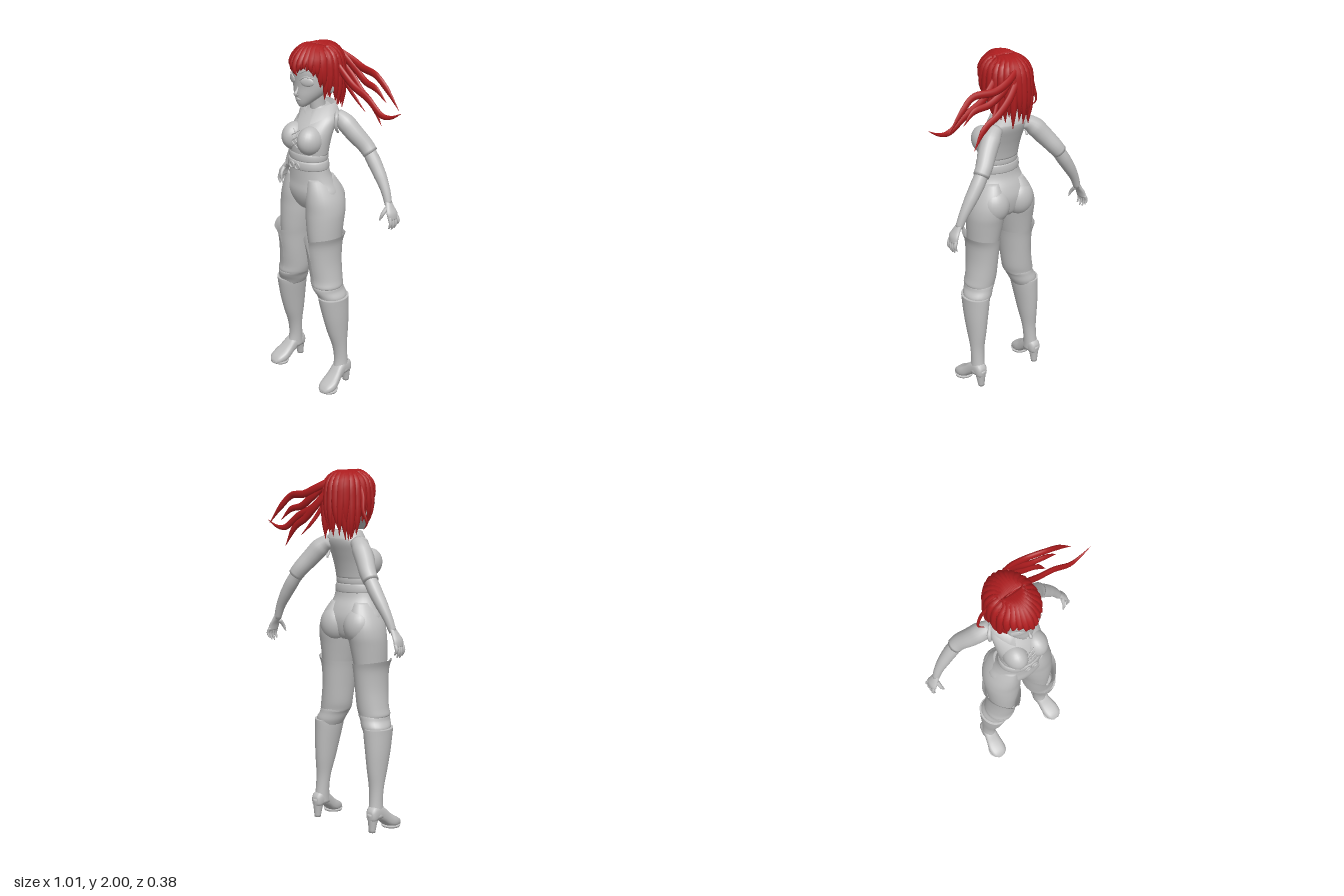
import * as THREE from 'three';

const V = (x, y, z) => new THREE.Vector3(x, y, z);

// Skin a stack of point rings; closed rings wrap round and get end caps.
function skin(rings, closed = true) {
  const n = rings[0].length, pos = [], idx = [];
  rings.forEach(r => r.forEach(p => pos.push(p.x, p.y, p.z)));
  for (let i = 0; i + 1 < rings.length; i++)
    for (let j = 0; j < (closed ? n : n - 1); j++) {
      const k = (j + 1) % n, a = i * n + j, b = i * n + k, c = b + n, d = a + n;
      idx.push(a, b, c, a, c, d);
    }
  if (closed) [0, rings.length - 1].forEach((r, end) => {
    const c = V(0, 0, 0), ci = pos.length / 3;
    rings[r].forEach(p => c.addScaledVector(p, 1 / n));
    pos.push(c.x, c.y, c.z);
    for (let j = 0; j < n; j++) {
      const a = r * n + j, b = r * n + (j + 1) % n;
      if (end) idx.push(a, b, ci); else idx.push(b, a, ci);
    }
  });
  const g = new THREE.BufferGeometry();
  g.setAttribute('position', new THREE.Float32BufferAttribute(pos, 3));
  g.setIndex(idx);
  g.computeVertexNormals();
  return g;
}

// Cubic smoothing between rows of numbers.
function smooth(rows, steps) {
  const out = [];
  for (let i = 0; i + 1 < rows.length; i++) {
    const p = rows[Math.max(i - 1, 0)], a = rows[i], b = rows[i + 1], q = rows[Math.min(i + 2, rows.length - 1)];
    for (let s = 0; s < steps; s++) {
      const t = s / steps;
      out.push(a.map((v, k) => {
        const cubic = 3 * (v - b[k]) + q[k] - p[k];
        const square = 2 * p[k] - 5 * v + 4 * b[k] - q[k];
        return v + 0.5 * t * (b[k] - p[k] + t * (square + t * cubic));
      }));
    }
  }
  out.push(rows[rows.length - 1]);
  return out;
}

// Upright loft, rows from bottom to top: [y, xMin, xMax, zMin, zMax, slit angle at the front].
function loft(rows, steps = 4, sides = 28) {
  const slit = rows[0].length > 5;
  return skin(smooth(rows, steps).map(([y, x0, x1, z0, z1, gap = 0]) => {
    const g = Math.max(gap, 0), ring = [];
    for (let j = 0; j < sides + (slit ? 1 : 0); j++) {
      const t = g + (j / sides) * (Math.PI * 2 - 2 * g), s = Math.sin(t), c = Math.cos(t);
      ring.push(V((x0 + x1) / 2 + (x1 - x0) / 2 * s, y + g * 0.07 * s,
        (z0 + z1) / 2 + (z1 - z0) / 2 * c + g * 0.14 * Math.max(c, 0) ** 8));
    }
    return ring;
  }), !slit);
}
const even = rows => rows.map(([y, rx, z0, z1]) => [y, -rx, rx, z0, z1]);

// Tapering tube through points; flat thins it front to back.
function taper(points, radii, sides = 8, seg = 18, flat = 1) {
  const curve = new THREE.CatmullRomCurve3(points.map(p => V(...p)));
  const f = curve.computeFrenetFrames(seg, false), rings = [], thin = V(1, 1, flat);
  for (let i = 0; i <= seg; i++) {
    const u = i / seg * (radii.length - 1), k = Math.min(Math.floor(u), radii.length - 2);
    const r = THREE.MathUtils.lerp(radii[k], radii[k + 1], u - k), c = curve.getPointAt(i / seg);
    rings.push(Array.from({ length: sides }, (_, j) => {
      const a = j / sides * Math.PI * 2;
      return f.normals[i].clone().multiplyScalar(r * Math.cos(a)).addScaledVector(f.binormals[i], r * Math.sin(a)).multiply(thin).add(c);
    }));
  }
  return skin(rings);
}

export function createModel() {
  const grey = new THREE.MeshStandardMaterial({ color: 0xbfbfbf, side: THREE.DoubleSide });
  grey.name = 'plain grey';
  const red = new THREE.MeshStandardMaterial({ color: 0xad1c1e });
  red.name = 'hair red';
  const root = new THREE.Group(), body = new THREE.Group();
  root.name = 'standingFigure';
  body.name = 'body';
  body.position.x = -0.033;
  root.add(body);
  const add = (parent, name, geo, mat = grey) => {
    const m = new THREE.Mesh(geo, mat);
    m.name = name;
    parent.add(m);
    return m;
  };
  const ball = (parent, name, p, s, mat = grey) => {
    const m = add(parent, name, new THREE.SphereGeometry(1, 24, 16), mat);
    m.position.set(...p);
    m.scale.set(...s);
    return m;
  };

  // Trunk
  add(body, 'trousers', loft(even([[1.075, 0.04, -0.05, 0.075], [1.1, 0.1, -0.07, 0.11], [1.15, 0.165, -0.083, 0.135],
    [1.2, 0.177, -0.085, 0.145], [1.25, 0.152, -0.07, 0.141], [1.3, 0.132, -0.045, 0.14], [1.35, 0.122, -0.035, 0.14]]), 4, 36));
  add(body, 'shirt', loft(even([[1.41, 0.119, -0.04, 0.145], [1.45, 0.123, -0.048, 0.148], [1.5, 0.127, -0.062, 0.142],
    [1.55, 0.128, -0.08, 0.113], [1.6, 0.122, -0.098, 0.068], [1.635, 0.09, -0.1, 0.035], [1.66, 0.05, -0.08, 0.02]]), 4, 36));
  add(body, 'upperWaistBand', loft(even([[1.375, 0.115, -0.034, 0.145], [1.385, 0.12, -0.038, 0.15],
    [1.41, 0.12, -0.038, 0.15], [1.42, 0.115, -0.034, 0.145]]), 2, 36));
  add(body, 'belt', loft(even([[1.328, 0.122, -0.036, 0.147], [1.336, 0.129, -0.042, 0.155],
    [1.37, 0.126, -0.04, 0.155], [1.378, 0.119, -0.034, 0.147]]), 2, 36));
  for (const x of [-0.021, 0.021])
    add(body, 'buckleRing', new THREE.TorusGeometry(0.017, 0.005, 8, 20)).position.set(x, 1.352, 0.158);
  add(body, 'neck', loft(even([[1.6, 0.05, -0.075, 0.025], [1.66, 0.04, -0.055, 0.033], [1.73, 0.041, -0.05, 0.04]])));
  // Open collar, folded outward with two points in front
  const collar = [[], [], []];
  for (let j = 0; j <= 24; j++) {
    const t = 0.45 + j / 24 * (Math.PI * 2 - 0.9), s = Math.sin(t), c = Math.cos(t), f = Math.max(c, 0) ** 2;
    collar[0].push(V(s * 0.115, 1.63 - f * 0.065, -0.035 + c * 0.082 + f * 0.065));
    collar[1].push(V(s * 0.088, 1.676 - f * 0.035, -0.035 + c * 0.07 + f * 0.045));
    collar[2].push(V(s * 0.055, 1.645 - f * 0.05, -0.035 + c * 0.055 + f * 0.045));
  }
  add(body, 'collar', skin(collar, false));
  // Criss-cross lacing
  const laceZ = [0.156, 0.158, 0.154, 0.14];
  for (let i = 0; i < 3; i++) for (const s of [-1, 1]) {
    const y = 1.455 + i * 0.032, z0 = laceZ[i], z1 = laceZ[i + 1];
    add(body, 'lace', taper([[-s * 0.024, y, z0], [0, y + 0.016, (z0 + z1) / 2], [s * 0.024, y + 0.032, z1]], [0.003, 0.003], 6, 4));
  }

  // Both sides: limbs and paired parts
  for (const side of [1, -1]) {
    const half = new THREE.Group();
    half.name = side > 0 ? 'leftSide' : 'rightSide';
    half.scale.x = side;
    body.add(half);
    ball(half, 'bust', [0.062, 1.492, 0.098], [0.063, 0.078, 0.08]).rotation.x = -0.2;
    ball(half, 'seat', [0.083, 1.15, -0.03], [0.086, 0.1, 0.076]);
    // Leg and tall boot
    add(half, 'thigh', loft([[0.76, 0.05, 0.19, -0.045, 0.13], [0.88, 0.036, 0.198, -0.055, 0.14], [0.96, 0.022, 0.203, -0.066, 0.145],
      [1.04, 0.008, 0.207, -0.08, 0.145], [1.1, 0.001, 0.206, -0.092, 0.143], [1.16, 0.001, 0.194, -0.094, 0.143],
      [1.22, 0.015, 0.167, -0.08, 0.137], [1.28, 0.03, 0.13, -0.045, 0.125]]));
    add(half, 'bootCuff', loft([[0.64, 0.06, 0.215, -0.045, 0.125, 0], [0.655, 0.053, 0.227, -0.046, 0.14, 0], [0.7, 0.043, 0.218, -0.05, 0.138, 0],
      [0.8, 0.033, 0.206, -0.056, 0.15, 0], [0.9, 0.024, 0.208, -0.065, 0.158, 0.1], [0.948, 0.018, 0.226, -0.074, 0.166, 0.2]], 4, 40));
    add(half, 'kneeFold', loft([[0.56, 0.1, 0.235, -0.05, 0.11], [0.59, 0.084, 0.245, -0.056, 0.12], [0.625, 0.07, 0.228, -0.05, 0.136],
      [0.65, 0.056, 0.223, -0.047, 0.139], [0.67, 0.06, 0.212, -0.04, 0.125]]));
    add(half, 'bootShaft', loft([[0.08, 0.162, 0.244, -0.066, 0.05], [0.16, 0.161, 0.237, -0.051, 0.032], [0.25, 0.154, 0.237, -0.046, 0.042],
      [0.35, 0.138, 0.243, -0.055, 0.075], [0.45, 0.122, 0.25, -0.06, 0.102], [0.55, 0.104, 0.254, -0.061, 0.122], [0.585, 0.1, 0.256, -0.06, 0.126]]));
    // Foot: [z, bottom, top, half width, centre x]
    const foot = smooth([[-0.072, 0.075, 0.12, 0.02, 0.203], [-0.055, 0.06, 0.145, 0.034, 0.203], [-0.01, 0.06, 0.155, 0.039, 0.203], [0.03, 0.04, 0.132, 0.042, 0.207],
      [0.065, 0.012, 0.097, 0.048, 0.212], [0.1, 0.001, 0.07, 0.053, 0.216], [0.14, 0.001, 0.046, 0.043, 0.218], [0.16, 0.003, 0.022, 0.02, 0.218]], 3);
    const pow = v => Math.sign(v) * Math.abs(v) ** 0.75;
    add(half, 'foot', skin(foot.map(([z, b, t, w, x]) => Array.from({ length: 20 }, (_, j) => {
      const a = j / 20 * Math.PI * 2;
      return V(x + w * pow(Math.cos(a)), (b + t) / 2 + (t - b) / 2 * pow(Math.sin(a)), z);
    }))));
    add(half, 'sole', loft([[0, 0.163, 0.27, 0.055, 0.155], [0.012, 0.16, 0.273, 0.05, 0.162]], 1));
    add(half, 'heel', loft([[0, 0.184, 0.222, -0.066, -0.03], [0.05, 0.178, 0.229, -0.07, -0.018], [0.11, 0.168, 0.238, -0.077, 0.01]], 3, 16));
    // Arm
    add(half, 'armhole', taper([[0.1, 1.637, -0.06], [0.132, 1.615, -0.025], [0.133, 1.56, -0.02], [0.12, 1.52, -0.05]], [0.01, 0.012, 0.01, 0.006]));
    add(half, 'sleeve', taper([[0.095, 1.612, -0.06], [0.135, 1.585, -0.075], [0.19, 1.52, -0.105], [0.24, 1.455, -0.14], [0.268, 1.418, -0.15]],
      [0.036, 0.052, 0.05, 0.046, 0.042], 18));
    add(half, 'forearm', taper([[0.25, 1.44, -0.145], [0.3, 1.365, -0.153], [0.35, 1.29, -0.155], [0.385, 1.23, -0.153], [0.412, 1.165, -0.148]],
      [0.036, 0.038, 0.034, 0.026, 0.02], 16));
    add(half, 'palm', loft([[1.092, 0.437, 0.463, -0.183, -0.112], [1.125, 0.427, 0.459, -0.181, -0.107], [1.155, 0.409, 0.442, -0.173, -0.117],
      [1.185, 0.39, 0.424, -0.169, -0.129]], 4, 18));
    [0.048, 0.064, 0.068, 0.058].forEach((drop, i) => {
      const z = -0.174 + i * 0.018;
      add(half, 'finger', taper([[0.449, 1.105, z], [0.46, 1.1 - drop * 0.5, z - 0.004 + i * 0.002], [0.448, 1.1 - drop, z - 0.006 + i * 0.003]],
        [0.01, 0.0095, 0.008, 0.003], 8, 8));
    });
    add(half, 'thumb', taper([[0.42, 1.15, -0.125], [0.415, 1.12, -0.1], [0.404, 1.085, -0.09]], [0.012, 0.011, 0.009, 0.003], 8, 8));
    // Face
    ball(half, 'eye', [0.057, 1.815, 0.115], [0.038, 0.024, 0.009]).rotation.y = 0.42;
    add(half, 'upperLash', taper([[0.02, 1.822, 0.134], [0.052, 1.843, 0.126], [0.094, 1.836, 0.096]], [0.003, 0.005, 0.003], 6, 8));
    add(half, 'eyebrow', taper([[0.02, 1.858, 0.132], [0.055, 1.876, 0.122], [0.088, 1.872, 0.098]], [0.003, 0.004, 0.002], 6, 8));
    ball(half, 'ear', [0.11, 1.78, -0.01], [0.012, 0.035, 0.022]);
  }

  // Head
  add(body, 'head', loft(even([[1.672, 0.02, 0.075, 0.115], [1.695, 0.045, 0.03, 0.126], [1.735, 0.08, -0.04, 0.13], [1.78, 0.104, -0.085, 0.128],
    [1.83, 0.113, -0.11, 0.132], [1.88, 0.112, -0.12, 0.135], [1.925, 0.095, -0.115, 0.118], [1.96, 0.05, -0.07, 0.06]]), 4, 36));
  add(body, 'nose', taper([[0, 1.785, 0.126], [0, 1.762, 0.135], [0, 1.745, 0.146], [0, 1.736, 0.13]], [0.002, 0.006, 0.01, 0.006], 10));
  for (const y of [1.711, 1.719])
    add(body, 'lip', taper([[-0.02, 1.716, 0.124], [0, y, 0.131], [0.02, 1.716, 0.124]], [0.001, 0.005, 0.001], 8, 8));

  // Hair: cap, then two layers of locks fanning from the parting
  const hair = new THREE.Group();
  hair.name = 'hair';
  body.add(hair);
  ball(hair, 'hairCap', [0, 1.86, -0.03], [0.121, 0.118, 0.128], red);
  let seed = 7;
  const rnd = () => (seed = (seed * 16807) % 2147483647) / 2147483647;
  for (let layer = 0; layer < 2; layer++) for (let i = 0; i < 26; i++) {
    const t = (i + layer * 0.5) / 26 * Math.PI * 2, s = Math.sin(t), c = Math.cos(t), a = Math.min(t, Math.PI * 2 - t);
    const base = a < 0.75 ? 1.872 : a < 1.25 ? 1.872 - (a - 0.75) * 0.25 : a < 1.9 ? 1.705 : 1.655;
    const end = base + (rnd() - 0.5) * (a < 0.75 ? 0.05 : 0.08), k = 1 - layer * 0.06, sway = (rnd() - 0.5) * 0.035;
    const at = (f, y, w = 0) => [s * 0.113 * f * k + w * c, y, -0.012 + c * (c > 0 ? 0.16 : 0.148) * f * k - w * s];
    const y3 = THREE.MathUtils.lerp(1.92, end, 0.35);
    add(hair, 'lock', taper([[s * 0.06, 1.974, -0.012 + c * 0.005], at(0.5, 1.972), at(0.86, 1.932), at(1, y3),
      at(1.03, THREE.MathUtils.lerp(y3, end, 0.55), sway * 0.4), at(0.99, end, sway)],
      [0.014, 0.023, 0.025, 0.023, 0.016, 0.001], 8, 16), red);
  }
  // Locks blown to the side
  const blown = [
    [[0.04, 1.92, -0.05], [0.1, 1.85, -0.065], [0.17, 1.79, -0.075], [0.27, 1.745, -0.08], [0.38, 1.675, -0.08], [0.44, 1.68, -0.084], [0.505, 1.715, -0.085]],
    [[-0.02, 1.94, -0.13], [0.06, 1.9, -0.16], [0.15, 1.865, -0.165], [0.27, 1.855, -0.14], [0.34, 1.8, -0.145], [0.43, 1.7, -0.15]],
    [[0, 1.88, -0.15], [0.07, 1.8, -0.17], [0.14, 1.735, -0.17], [0.22, 1.685, -0.168], [0.29, 1.58, -0.17]],
    [[0.02, 1.92, -0.14], [0.1, 1.85, -0.16], [0.18, 1.8, -0.155], [0.27, 1.78, -0.145], [0.34, 1.72, -0.15]],
    [[0.05, 1.85, -0.09], [0.1, 1.76, -0.11], [0.14, 1.7, -0.13], [0.2, 1.64, -0.14]],
    [[-0.13, 1.92, -0.04], [-0.165, 1.85, -0.055], [-0.18, 1.78, -0.07], [-0.2, 1.71, -0.062], [-0.17, 1.68, -0.05]],
  ];
  blown.forEach((p, i) => add(root, 'blownLock',
    taper(p, i < 4 ? [0.02, 0.022, 0.02, 0.017, 0.001] : [0.014, 0.013, 0.01, 0.001], 10, 28, 0.6), red));
  return root;
}
